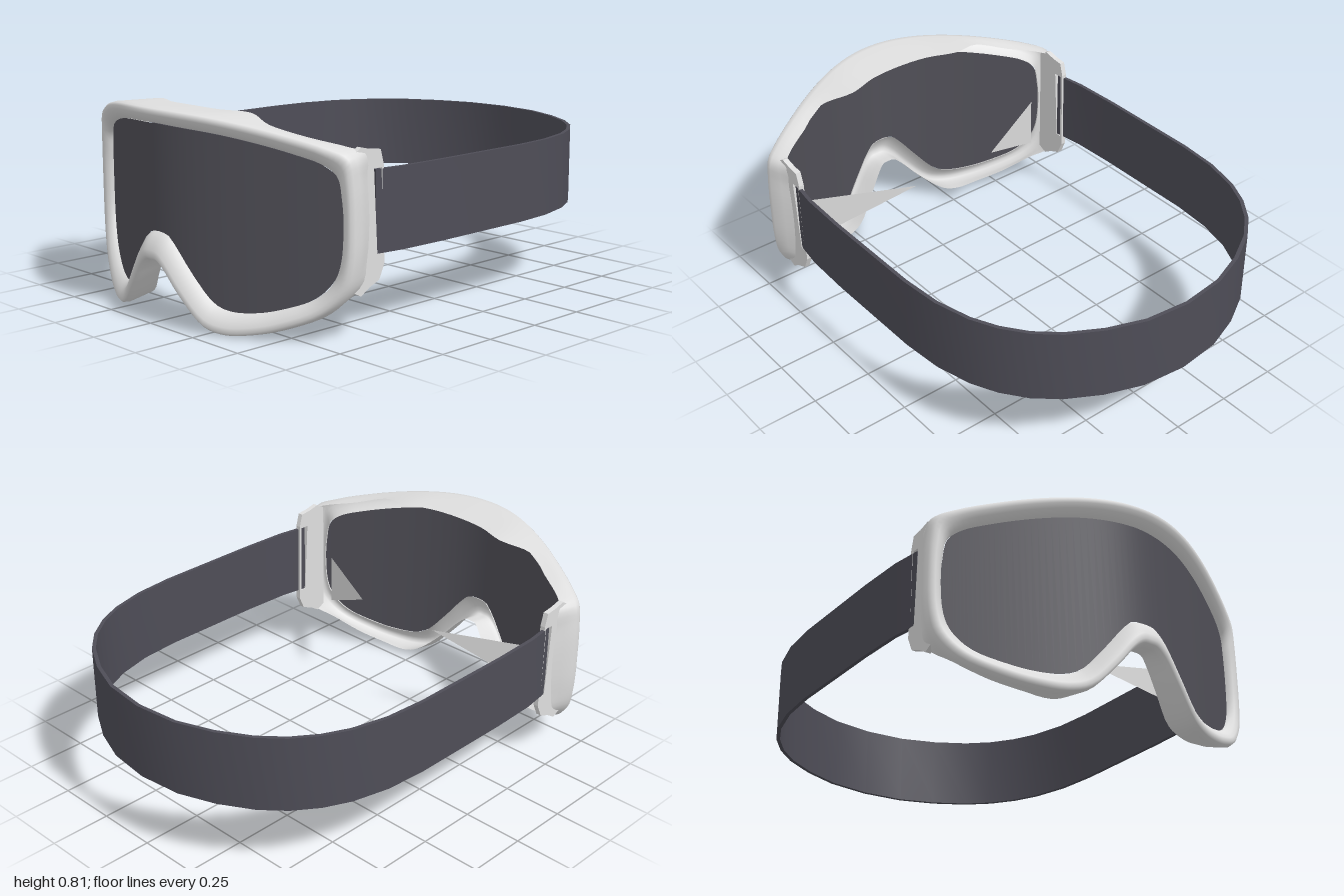
import * as THREE from 'three';
import { toCreasedNormals } from 'three/addons/utils/BufferGeometryUtils.js';

const material = (name, color) => {
  const m = new THREE.MeshStandardMaterial({ color, side: THREE.DoubleSide });
  m.name = name;
  return m;
};

// Forward bow of the goggle face across its width
const bow = (x) => 1 - 0.68 * (Math.sqrt(x * x + 0.1225) - 0.35);

// Half outline from top centre to nose: outer xy, inner xy, skirt back edge xyz
const PROFILE = [
  [0, .81, 0, .745, 0, .795, .78],
  [.14, .807, .13, .74, .14, .793, .77],
  [.27, .796, .26, .729, .27, .79, .73],
  [.41, .774, .40, .705, .41, .765, .765],
  [.54, .744, .53, .672, .53, .73, .70],
  [.66, .708, .62, .64, .66, .70, .62],
  [.725, .675, .665, .60, .70, .68, .58],
  [.74, .60, .68, .52, .695, .58, .56],
  [.746, .45, .685, .42, .695, .45, .55],
  [.742, .30, .675, .29, .695, .30, .56],
  [.72, .20, .65, .225, .69, .20, .58],
  [.65, .115, .59, .16, .63, .13, .66],
  [.53, .053, .48, .112, .52, .07, .72],
  [.42, .018, .40, .092, .41, .035, .77],
  [.32, .005, .31, .088, .31, .02, .80],
  [.24, .025, .25, .11, .23, .05, .81],
  [.14, .125, .165, .205, .13, .14, .86],
  [.07, .21, .09, .30, .06, .22, .89],
  [.03, .238, .05, .338, .03, .245, .90],
  [0, .24, 0, .345, 0, .25, .90],
];

// Smooth closed loop through the mirrored profile columns
function loop(pick) {
  const right = PROFILE.map(pick);
  const left = right.slice(1, -1).reverse().map((p) => new THREE.Vector3(-p.x, p.y, p.z));
  const curve = new THREE.CatmullRomCurve3([...right, ...left], true);
  const n = curve.points.length * 4;
  return Array.from({ length: n }, (_, i) => curve.getPoint(i / n));
}

// Skin between rows of points
function skin(rows, closed) {
  const n = rows[0].length, index = [];
  for (let j = 0; j < rows.length - 1; j++) {
    for (let i = 0; i < (closed ? n : n - 1); i++) {
      const k = (i + 1) % n;
      const a = j * n + i, b = j * n + k, c = a + n, d = b + n;
      index.push(a, b, c, b, d, c);
    }
  }
  const geo = new THREE.BufferGeometry().setFromPoints(rows.flat());
  geo.setIndex(index);
  geo.computeVertexNormals();
  return geo;
}

function frameGeometry() {
  const outer = loop((p) => new THREE.Vector3(p[0], p[1], 0));
  const inner = loop((p) => new THREE.Vector3(p[2], p[3], 0));
  const back = loop((p) => new THREE.Vector3(p[4], p[5], p[6]));
  // Rounded rim section: [inner to outer fraction, depth]
  const rim = [[0, .055], [.1, .035], [.35, .016], [.6, .004], [.82, 0], [.95, .01], [1, .035]];
  const rows = rim.map(([s, dz]) => inner.map((p, i) => {
    const q = p.clone().lerp(outer[i], s);
    q.z = bow(q.x) - dz;
    return q;
  }));
  const edge = rows[rows.length - 1];
  rows.push(edge.map((p, i) => p.clone().lerp(back[i], .5)), back);
  return skin(rows, true);
}

// Curved pane made of vertical strips between the inner outline's top and bottom
function lensGeometry() {
  const half = PROFILE.map((p) => new THREE.Vector3(p[2], p[3], 0));
  const curve = new THREE.CatmullRomCurve3(half);
  const pts = curve.getPoints(152);
  const widest = pts.reduce((m, p, i) => (p.x > pts[m].x ? i : m), 0);
  const heightAt = (list, x) => {
    for (let i = 1; i < list.length; i++) {
      const a = list[i - 1], b = list[i];
      if (x >= a.x && x <= b.x) return THREE.MathUtils.lerp(a.y, b.y, (x - a.x) / (b.x - a.x || 1));
    }
    return list[list.length - 1].y;
  };
  const top = pts.slice(0, widest + 1), bottom = pts.slice(widest).reverse();
  const low = [], high = [];
  const N = 80, w = pts[widest].x;
  for (let i = 0; i <= N; i++) {
    const x = w * Math.sin((i / N - .5) * Math.PI), z = bow(x) - .05;
    low.push(new THREE.Vector3(x, heightAt(bottom, Math.abs(x)), z));
    high.push(new THREE.Vector3(x, heightAt(top, Math.abs(x)), z));
  }
  return skin([low, high], false);
}

// Ribbon of constant thickness following the head
function strapGeometry() {
  const side = [[.697, .525], [.715, .4], [.722, .2], [.722, -.25], [.708, -.42], [.67, -.57],
    [.62, -.675], [.55, -.77], [.46, -.85], [.33, -.925], [.18, -.98]];
  const path = [...side, [0, -1], ...side.slice().reverse().map(([x, z]) => [-x, z])]
    .map(([x, z]) => new THREE.Vector2(x, z));
  const inside = path.map((p, i) => {
    const t = path[Math.min(i + 1, path.length - 1)].clone().sub(path[Math.max(i - 1, 0)]).normalize();
    return new THREE.Vector2(p.x + t.y * .015, p.y - t.x * .015);
  });
  const shape = new THREE.Shape([...path, ...inside.reverse()]);
  const geo = new THREE.ExtrudeGeometry(shape, { depth: .305, bevelEnabled: false });
  geo.rotateX(Math.PI / 2).translate(0, .615, 0);
  return toCreasedNormals(geo, .7);
}

// Side bracket with a slot for the strap
function bracketGeometry() {
  const v = ([z, y]) => new THREE.Vector2(-z, y);
  const shape = new THREE.Shape([[.64, .68], [.60, .702], [.55, .69], [.505, .685], [.49, .63],
    [.485, .27], [.51, .215], [.56, .195], [.60, .17], [.64, .19]].map(v));
  shape.holes.push(new THREE.Path([[.538, .62], [.50, .62], [.497, .31], [.52, .31]].map(v)));
  const geo = new THREE.ExtrudeGeometry(shape, { depth: .022, bevelEnabled: false });
  return geo.rotateY(Math.PI / 2).translate(-.011, 0, 0);
}

// Pointed inner flap behind the lens
function flapGeometry(s) {
  const pts = [[.2, .465, .4], [.63, .44, .645], [.63, .22, .645]]
    .map(([x, y, z]) => new THREE.Vector3(s * x, y, z));
  const geo = new THREE.BufferGeometry().setFromPoints(s > 0 ? pts : pts.reverse());
  geo.computeVertexNormals();
  return geo;
}

export function createModel() {
  const group = new THREE.Group();
  group.name = 'goggles';
  const shell = material('pale grey shell', 0xdedede);
  const glass = material('dark lens', 0x504f57);
  const fabric = material('dark strap', 0x4e4d57);
  const add = (name, geo, mat) => {
    const mesh = new THREE.Mesh(geo, mat);
    mesh.name = name;
    group.add(mesh);
    return mesh;
  };

  add('frame', frameGeometry(), shell);
  add('lens', lensGeometry(), glass);
  add('strap', strapGeometry(), fabric);
  for (const s of [1, -1]) {
    const label = s > 0 ? 'left' : 'right';
    add(label + 'Bracket', bracketGeometry(), shell).position.x = s * .69;
    add(label + 'InnerFlap', flapGeometry(s), shell);
  }
  return group;
}
